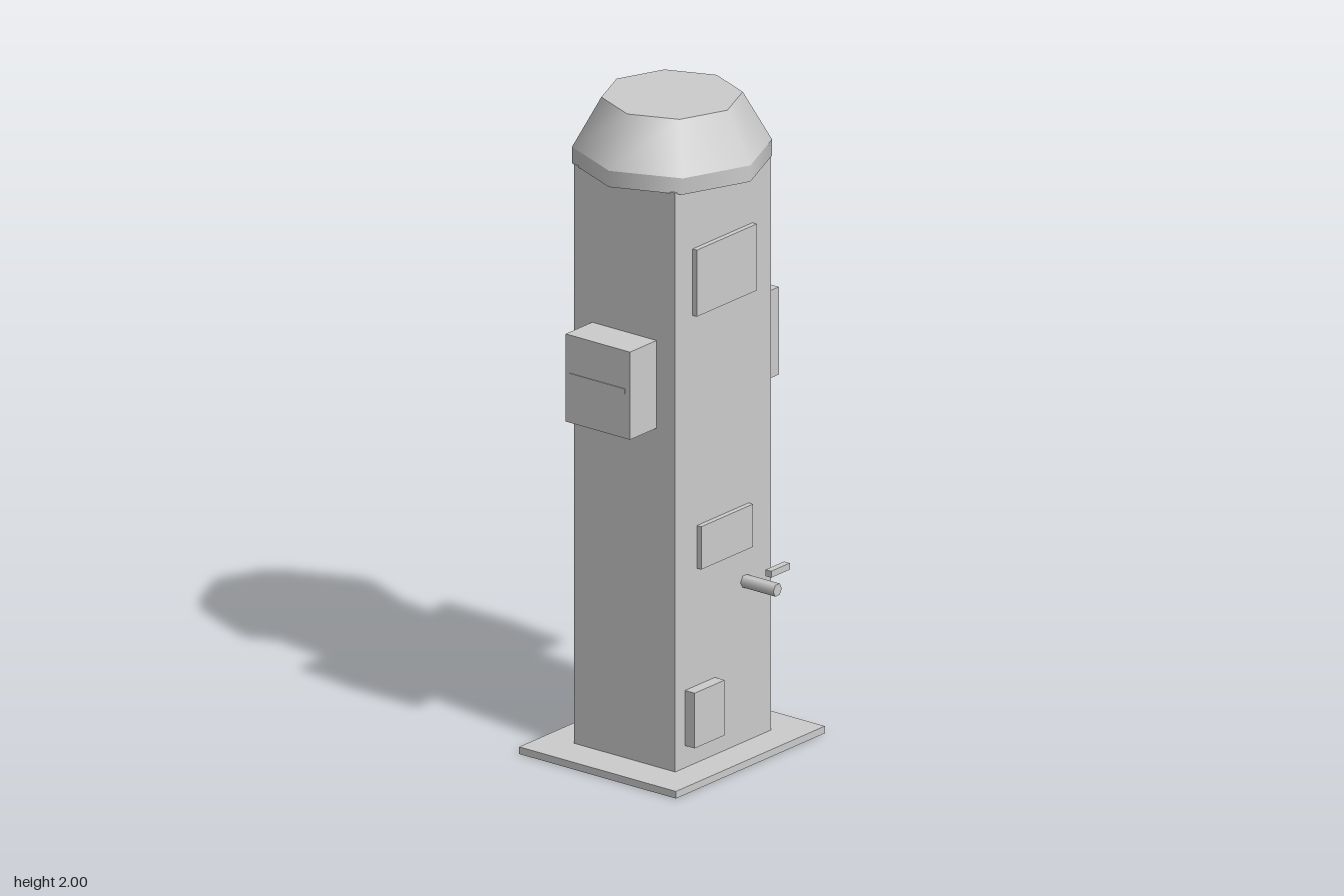
import * as THREE from 'three';

const grey = new THREE.MeshStandardMaterial({ color: 0xcccccc });
grey.name = 'grey';

export function createModel() {
  const model = new THREE.Group();
  model.name = 'kiosk';
  const cz = -0.015; // column axis in z

  const add = (name, geometry, x, y, z) => {
    const mesh = new THREE.Mesh(geometry, grey);
    mesh.name = name;
    mesh.position.set(x, y, z);
    model.add(mesh);
    return mesh;
  };
  // Box given by its limits on each axis
  const box = (name, x0, x1, y0, y1, z0, z1) =>
    add(name, new THREE.BoxGeometry(x1 - x0, y1 - y0, z1 - z0),
      (x0 + x1) / 2, (y0 + y1) / 2, (z0 + z1) / 2);

  // Base plate and column
  box('basePlate', -0.342, 0.342, 0, 0.022, -0.305, 0.275);
  box('column', -0.22, 0.22, 0.022, 1.805, -0.2, 0.174);

  // Eight-sided cap: straight rim, sloping roof
  add('capRim', new THREE.CylinderGeometry(0.29, 0.29, 0.05, 8), 0, 1.825, cz);
  add('capRoof', new THREE.CylinderGeometry(0.205, 0.29, 0.15, 8), 0, 1.925, cz);

  // Side boxes, each with a thin slot strip
  for (const s of [-1, 1]) {
    const side = s > 0 ? 'left' : 'right';
    add(side + 'SideBox', new THREE.BoxGeometry(0.122, 0.27, 0.238), s * 0.281, 1.2, -0.014);
    add(side + 'Slot', new THREE.BoxGeometry(0.006, 0.016, 0.204), s * 0.342, 1.21, cz);
  }

  // Front panels
  box('screen', -0.14, 0.135, 1.405, 1.61, 0.174, 0.19);
  box('middlePanel', -0.12, 0.118, 0.62, 0.752, 0.174, 0.19);
  box('lowerHatch', -0.175, -0.037, 0.09, 0.26, 0.174, 0.21);

  // Six-sided handle rod and grip bar
  const rod = new THREE.CylinderGeometry(0.02, 0.02, 0.122, 6).rotateY(Math.PI / 2).rotateX(Math.PI / 2);
  add('handleRod', rod, 0.1, 0.517, 0.234);
  box('handleBar', 0.06, 0.145, 0.569, 0.589, 0.283, 0.304);

  return model;
}
